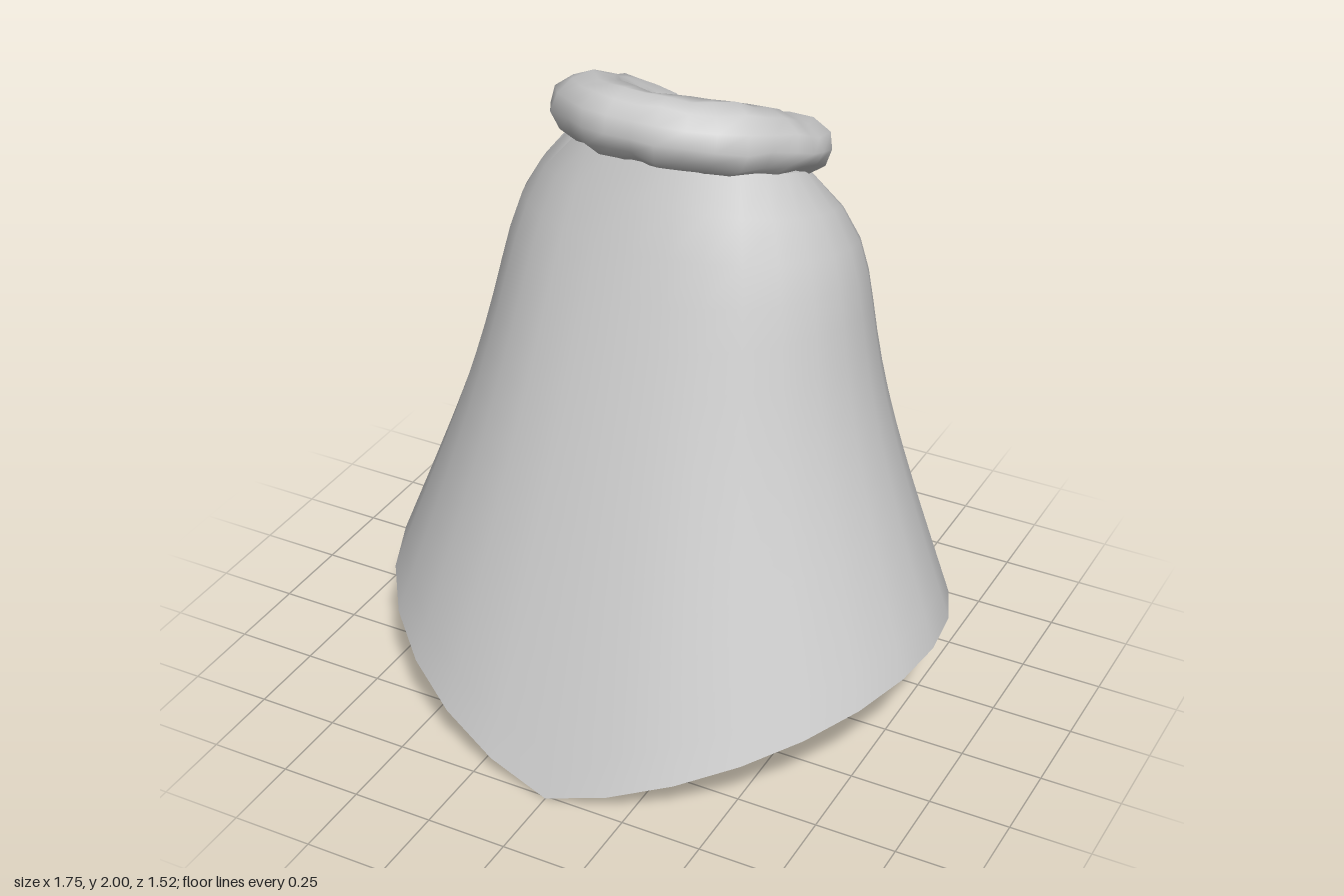
import * as THREE from 'three';
import { toCreasedNormals } from 'three/addons/utils/BufferGeometryUtils.js';

const V = (x, y, z) => new THREE.Vector3(x, y, z);

// Skins closed rings of equal, even point count and caps both ends.
function loft(rings, crease) {
  const n = rings[0].length, last = rings.length - 1, index = [];
  const id = (i, j) => i * n + (j % n);
  const quad = (a, b, c, d) => index.push(a, b, c, a, c, d);
  for (let i = 0; i < last; i++)
    for (let j = 0; j < n; j++) quad(id(i, j), id(i + 1, j), id(i + 1, j + 1), id(i, j + 1));
  for (let j = 0; j < n / 2 - 1; j++) {
    const m = n - 1 - j;
    quad(id(0, j), id(0, j + 1), id(0, m - 1), id(0, m));
    quad(id(last, j), id(last, m), id(last, m - 1), id(last, j + 1));
  }
  const g = new THREE.BufferGeometry().setFromPoints(rings.flat());
  g.setIndex(index);
  return toCreasedNormals(g, crease);
}

// Cloak: a thin shell swept round the body, split at the back.
function cloakGeometry() {
  const neck = new THREE.CatmullRomCurve3([
    V(0, 1.81, 0.14), V(0.19, 1.8, 0.1), V(0.31, 1.77, 0), V(0.35, 1.73, -0.12),
    V(0.34, 1.68, -0.24), V(0.29, 1.6, -0.35), V(0.18, 1.52, -0.43), V(0.012, 1.45, -0.47),
  ]);
  const SEG = 28, ROWS = 14, rings = [];
  for (let i = 0; i <= SEG; i++) {
    const s = (i / SEG) * 2 - 1, u = Math.abs(s), side = s < 0 ? -1 : 1;
    const sin = Math.sin(Math.PI * u), cos = Math.cos(Math.PI * u);
    const hx = 0.873 * sin + 0.007 * u;
    const hy = cos > 0 ? 0.38 * Math.pow(hx, 1.1) : 0.07 + 0.295 * hx;
    const hem = V(hx, hy, 0.76 * cos - 0.03 * sin * sin);
    const top = neck.getPoint(u);
    const fullness = 0.08 * (sin * sin + 0.35 * Math.max(0, -cos));
    const outer = [], inner = [];
    for (let r = 0; r <= ROWS; r++) {
      const t = r / ROWS, p = hem.clone().lerp(top, t);
      const b = fullness * Math.sin(Math.PI * Math.pow(t, 4)); // rounded shoulders
      p.x += b * sin;
      p.z += b * cos;
      const q = V(p.x - 0.018 * sin, p.y, p.z - 0.018 * cos);
      p.x *= side;
      q.x *= side;
      outer.push(p);
      inner.unshift(q);
    }
    rings.push([...outer, ...inner]);
  }
  return loft(rings, 0.9);
}

// Collar: a lumpy padded roll, tilted down to the split, with a deep inner lining.
function collarGeometry() {
  const half = [ // x, y, z, half width, half height
    [0, 1.9, 0.125, 0.095, 0.1], [0.13, 1.89, 0.095, 0.105, 0.1], [0.23, 1.86, 0, 0.12, 0.1],
    [0.265, 1.81, -0.12, 0.13, 0.09], [0.265, 1.76, -0.22, 0.13, 0.09], [0.22, 1.7, -0.32, 0.12, 0.09],
    [0.14, 1.61, -0.4, 0.09, 0.085], [0.045, 1.48, -0.455, 0.038, 0.05],
  ];
  const all = [...half.slice(1).reverse().map(([x, ...rest]) => [-x, ...rest]), ...half];
  const path = new THREE.CatmullRomCurve3(all.map(([x, y, z]) => V(x, y, z)));
  const sizes = new THREE.CatmullRomCurve3(all.map((p) => V(p[3], p[4], 0)));
  const SEG = 32, SIDES = 12, up = V(0, 1, 0), rings = [];
  for (let i = 0; i <= SEG; i++) {
    const t = i / SEG, c = path.getPoint(t), size = sizes.getPoint(t);
    const tangent = path.getTangent(t);
    const out = tangent.clone().cross(up).normalize();
    const rise = out.clone().cross(tangent).normalize();
    const liningDepth = 0.25 * (1 - (2 * t - 1) ** 2);
    const ring = [];
    for (let j = 0; j < SIDES; j++) {
      const a = (j / SIDES) * Math.PI * 2;
      const lump = 1 + 0.08 * Math.sin(i * 2.3) * (0.5 + 0.5 * Math.sin(a)) + 0.04 * Math.sin(i * 1.7 + j * 2.1);
      const p = c.clone()
        .addScaledVector(out, Math.sin(a) * size.x * lump)
        .addScaledVector(rise, -Math.cos(a) * size.y * lump);
      p.y -= liningDepth * Math.max(0, Math.cos(a + Math.PI / 3)) ** 4;
      ring.push(p);
    }
    rings.push(ring);
  }
  return loft(rings, 1.2);
}

// Tassel strip: a flat bar that widens towards its lower end.
function stripGeometry(length) {
  const g = new THREE.BoxGeometry(0.085, length, 0.03);
  const p = g.attributes.position;
  for (let i = 0; i < p.count; i++) if (p.getY(i) > 0) p.setX(i, p.getX(i) * 0.5);
  g.computeVertexNormals();
  return g;
}

export function createModel() {
  const cloth = new THREE.MeshStandardMaterial({ color: 0xcccccc });
  cloth.name = 'pale grey cloth';
  const model = new THREE.Group();
  model.name = 'cloak';
  const add = (name, geometry, parent = model) => {
    const mesh = new THREE.Mesh(geometry, cloth);
    mesh.name = name;
    parent.add(mesh);
    return mesh;
  };

  add('cloakBody', cloakGeometry());
  add('collar', collarGeometry());

  // Two tassels on each side of the split, each a diamond bead and a strip
  const tassels = [
    { bead: V(0.2, 1.4, -0.487), from: V(0.21, 1.32, -0.51), to: V(0.245, 1.03, -0.625), out: V(0.35, 0, -0.94) },
    { bead: V(0.31, 1.47, -0.417), from: V(0.315, 1.38, -0.445), to: V(0.4, 1.15, -0.495), out: V(0.62, 0, -0.78) },
  ];
  for (const side of [1, -1]) {
    for (const t of tassels) {
      const group = new THREE.Group();
      group.name = side > 0 ? 'leftTassel' : 'rightTassel';
      const flip = (v) => V(v.x * side, v.y, v.z);
      const from = flip(t.from), to = flip(t.to), out = flip(t.out);
      const bead = add('bead', new THREE.OctahedronGeometry(0.043), group);
      bead.position.copy(flip(t.bead));
      bead.rotation.y = Math.atan2(out.x, out.z);
      const strip = add('strip', stripGeometry(from.distanceTo(to)), group);
      const y = from.clone().sub(to).normalize();
      const x = y.clone().cross(out).normalize();
      strip.quaternion.setFromRotationMatrix(new THREE.Matrix4().makeBasis(x, y, x.clone().cross(y)));
      strip.position.copy(from).lerp(to, 0.5);
      model.add(group);
    }
  }
  return model;
}
